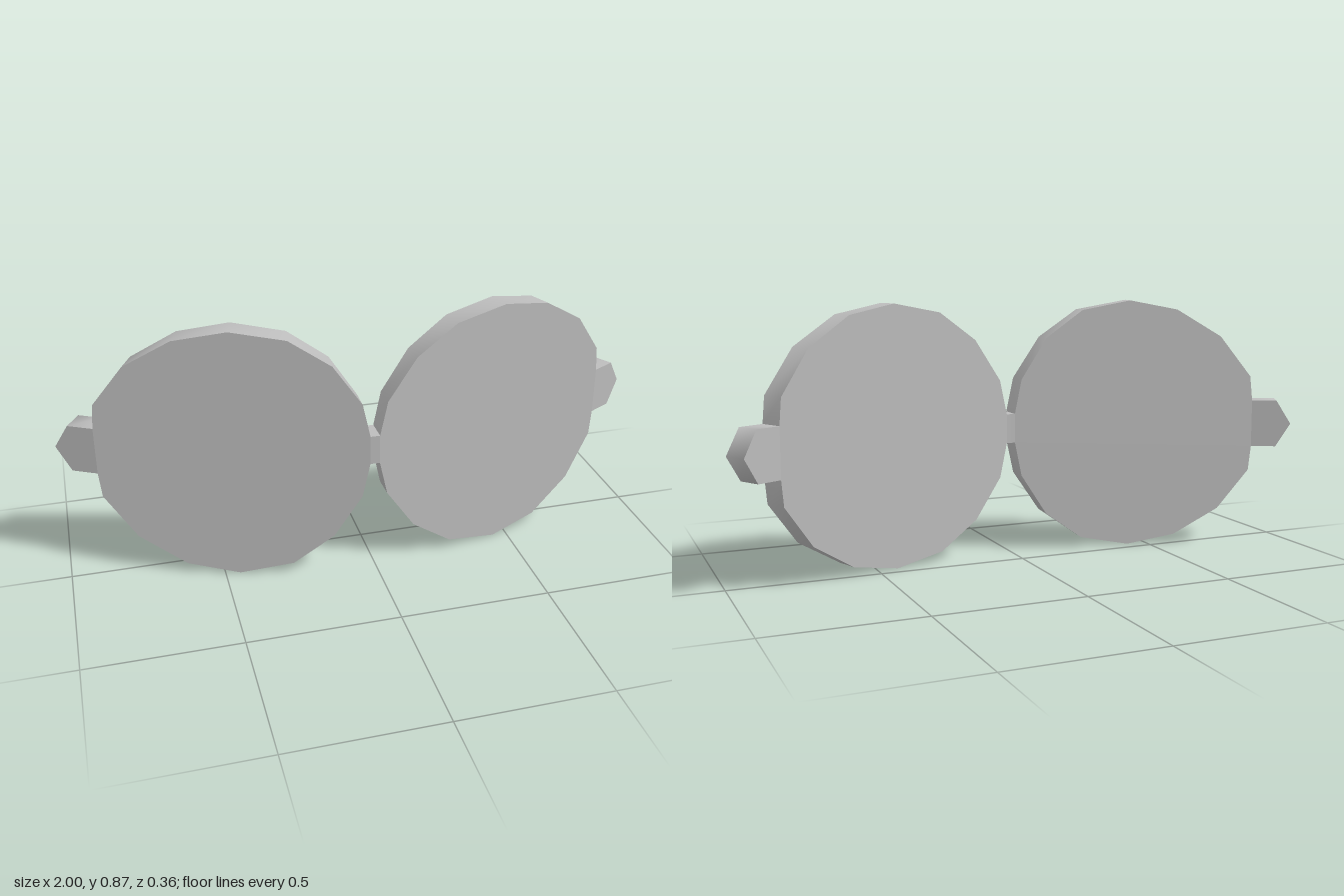
import * as THREE from 'three';
import { toCreasedNormals } from 'three/addons/utils/BufferGeometryUtils.js';

const MID = 0.4365, THICK = 0.08, BOW = 0.2935;

// Bend a flat point onto the bowed front (depth 0) or back (depth THICK) surface.
function bend([x, y], depth) {
  const slope = 2 * BOW * x, len = Math.hypot(1, slope);
  return new THREE.Vector3(x - depth * slope / len, y, 0.182 - BOW * x * x - depth / len);
}

// Average facing of a bowed outline
function outlineNormal(points) {
  const normal = new THREE.Vector3();
  points.forEach((p, i) => normal.add(p.clone().cross(points[(i + 1) % points.length])));
  return normal.normalize();
}

// Fill an arc of points lo..hi by halving it again and again
function fillArc(lo, hi, out) {
  if (hi - lo < 2) return;
  const mid = (lo + hi) / 2;
  out.push([lo, mid, hi]);
  fillArc(lo, mid, out);
  fillArc(mid, hi, out);
}

// Triangles as a geometry; side -1 mirrors them to the other half
function makeGeometry(triangles, side) {
  const positions = [];
  for (const [a, b, c] of triangles) {
    for (const p of side > 0 ? [a, b, c] : [a, c, b]) positions.push(p.x * side, p.y, p.z);
  }
  const geometry = new THREE.BufferGeometry();
  geometry.setAttribute('position', new THREE.Float32BufferAttribute(positions, 3));
  return geometry;
}

export function createModel() {
  const group = new THREE.Group();
  group.name = 'eyewearFront';
  const grey = new THREE.MeshStandardMaterial({ color: 0xbcbcbc });
  grey.name = 'plain grey';

  // Lens outline, counter-clockwise: outer tab corner over the top to the bridge, then mirrored below
  const upper = [[0.877, 0.082], [0.869, 0.168], [0.769, 0.309], [0.619, 0.404], [0.451, 0.4365],
    [0.275, 0.404], [0.138, 0.309], [0.042, 0.168], [0.016, 0.05]].map(([x, h]) => [x, MID + h]);
  const lower = upper.map(([x, y]) => [x, 2 * MID - y]).reverse();
  const lens = [...lower, ...upper];
  const lensFaces = [[0, 8, 9], [0, 9, 17]];
  fillArc(0, 8, lensFaces);
  fillArc(9, 17, lensFaces);

  // Side tab with a pointed end, and half of the nose bridge
  const tip = [[0.955, MID - 0.082], [1, MID], [0.955, MID + 0.082]];
  const tab = [lower[8], ...tip, upper[0]];
  const bridge = [[0, MID - 0.05], lower[0], upper[8], [0, MID + 0.05]];

  const parts = [
    ['lens', lens, lensFaces],
    ['sideTab', tab, [[0, 1, 3], [0, 3, 4], [1, 2, 3]]],
    ['bridge', bridge, [[0, 1, 2], [0, 2, 3]]],
  ];
  const rim = [bridge[0], ...lower, ...tip, ...upper, bridge[3]];

  for (const side of [1, -1]) {
    const half = side > 0 ? 'left' : 'right';

    // Front and back faces, each evenly shaded
    for (const [name, outline, faces] of parts) {
      for (const depth of [0, THICK]) {
        const points = outline.map((p) => bend(p, depth));
        const triangles = faces.map(([a, b, c]) => (depth ? [a, c, b] : [a, b, c]).map((i) => points[i]));
        const geometry = makeGeometry(triangles, side);
        const normal = outlineNormal(points).multiplyScalar(depth ? -1 : 1);
        const normals = triangles.flatMap(() => [0, 1, 2].flatMap(() => [normal.x * side, normal.y, normal.z]));
        geometry.setAttribute('normal', new THREE.Float32BufferAttribute(normals, 3));
        const mesh = new THREE.Mesh(geometry, grey);
        mesh.name = `${half} ${name} ${depth ? 'back' : 'front'}`;
        group.add(mesh);
      }
    }

    // Edge wall running round the half
    const walls = [];
    for (let i = 0; i + 1 < rim.length; i++) {
      const [a, b] = [bend(rim[i], 0), bend(rim[i + 1], 0)];
      const [c, d] = [bend(rim[i], THICK), bend(rim[i + 1], THICK)];
      walls.push([a, c, d], [a, d, b]);
    }
    const edge = new THREE.Mesh(toCreasedNormals(makeGeometry(walls, side), 1.15), grey);
    edge.name = `${half} rim`;
    group.add(edge);
  }
  return group;
}
